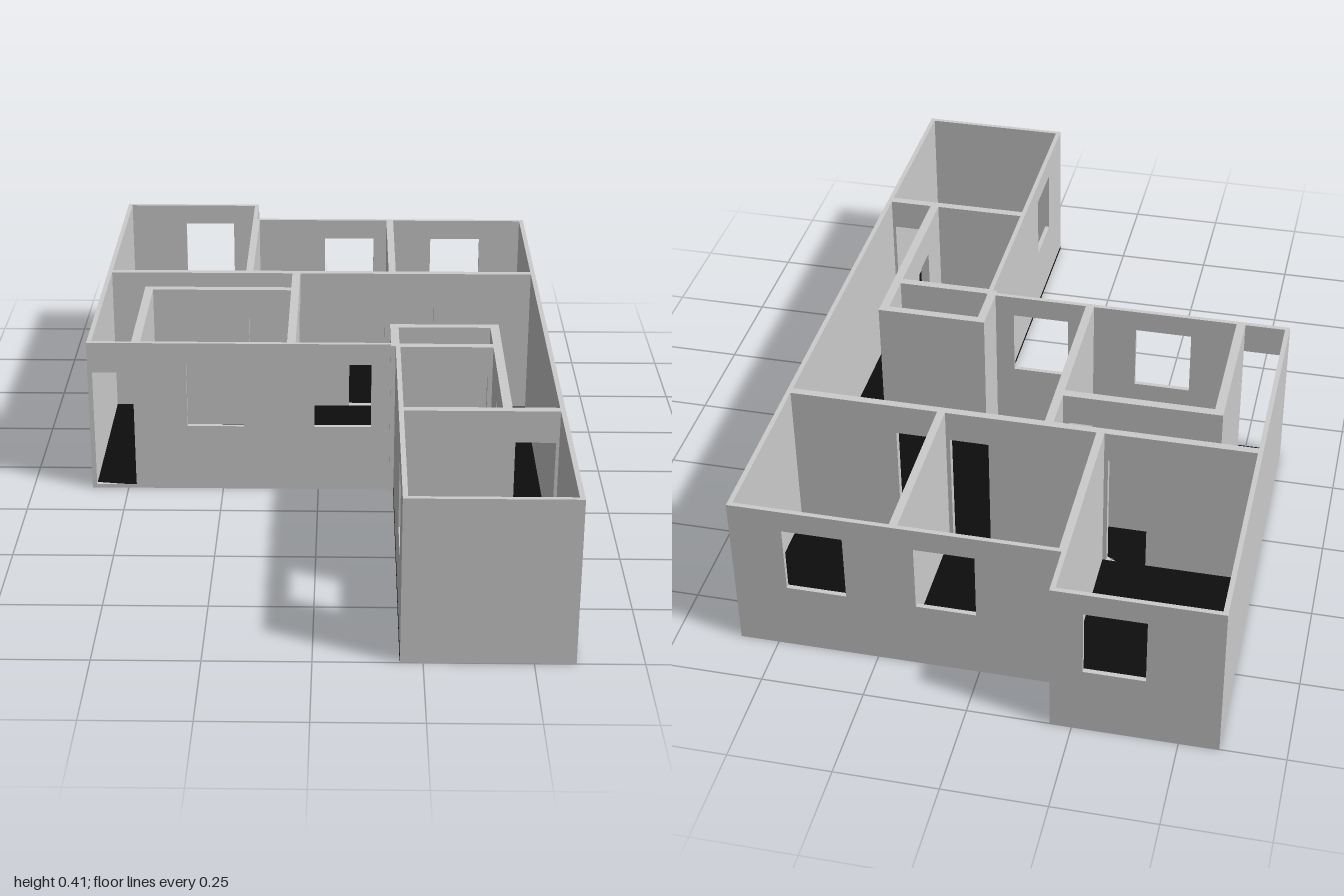
import * as THREE from 'three';

const H = 0.412;
const grey = new THREE.MeshStandardMaterial({ color: 0xcccccc, side: THREE.DoubleSide });
const dark = new THREE.MeshStandardMaterial({ color: 0x0d0d0d });

// openings: [start, end, bottom, top] along the wall
const win = (a, b) => [a, b, 0.18, 0.355];
const door = (a, b) => [a, b, 0.01, 0.33];

const rectPoints = (a, b, c, d) => [[a, c], [b, c], [b, d], [a, d]].map(p => new THREE.Vector2(...p));

// upright panel running along 'x' or 'z' from a to b, filling lo..hi on the other axis
function wall(name, axis, a, b, lo, hi, openings = []) {
  const shape = new THREE.Shape(rectPoints(a, b, 0, H));
  for (const o of openings) shape.holes.push(new THREE.Path(rectPoints(...o)));
  const geo = new THREE.ExtrudeGeometry(shape, { depth: hi - lo, bevelEnabled: false });
  if (axis === 'x') geo.translate(0, 0, lo);
  else geo.rotateY(-Math.PI / 2).translate(hi, 0, 0);
  const mesh = new THREE.Mesh(geo, grey);
  mesh.name = name;
  return mesh;
}

export function createModel() {
  const group = new THREE.Group();
  const X = 0.595, T = 0.012;

  // outer walls
  group.add(
    wall('leftOuterWall', 'z', -0.868, 1, X - T, X),
    wall('rightOuterWall', 'z', -1, 0.12, -X, -X + T),
    wall('backWingWall', 'x', -X, -0.198, -1, -1 + T, [win(-0.42, -0.275)]),
    wall('backWall', 'x', -0.2, X, -0.868, -0.868 + T, [win(0.005, 0.15), win(0.32, 0.466)]),
    wall('backWingSideWall', 'z', -1, -0.868, -0.198 - T, -0.198),
    wall('frontWall', 'x', -X, 0.2, 0.12 - T, 0.12,
      [door(-0.584, -0.478), win(-0.34, -0.193), win(-0.01, 0.137)]),
    wall('frontWingSideWall', 'z', 0.108, 1, 0.198, 0.198 + T, [win(0.685, 0.835)]),
    wall('frontWingWall', 'x', 0.198, X, 1 - T, 1)
  );

  // inner partitions
  group.add(
    wall('mainPartition', 'x', -X + T, X - T, -0.42, -0.4,
      [door(-0.32, -0.22), door(0.08, 0.178), door(0.215, 0.315)]),
    wall('backRoomPartitionRight', 'z', -0.868, -0.41, -0.21, -0.19),
    wall('backRoomPartitionLeft', 'z', -0.868, -0.41, 0.188, 0.208),
    wall('hallBackPartition', 'x', -0.48, -0.058, -0.29, -0.267, [door(-0.196, -0.096)]),
    wall('hallSidePartition', 'z', -0.29, 0.11, -0.48, -0.457),
    wall('livingRoomPartition', 'z', -0.41, 0.11, -0.08, -0.058, [door(-0.392, -0.297)]),
    wall('closetBackWall', 'x', 0.186, 0.47, -0.022, 0),
    wall('closetSideWall', 'z', -0.022, 0.13, 0.186, 0.208),
    wall('closetFrontWall', 'x', 0.2, 0.46, 0.112, 0.134, [door(0.335, 0.435)]),
    wall('corridorPartition', 'z', -0.022, 0.52, 0.447, 0.47, [door(0.29, 0.39)]),
    wall('frontRoomPartition', 'x', 0.2, X - T, 0.51, 0.532, [door(0.478, 0.575)])
  );

  // dark floor slab following the plan outline (shape y is z)
  const plan = [[-X, -1], [-0.198, -1], [-0.198, -0.868], [X, -0.868], [X, 1], [0.198, 1], [0.198, 0.12], [-X, 0.12]]
    .map(p => new THREE.Vector2(...p));
  const slab = new THREE.ExtrudeGeometry(
    new THREE.Shape(plan), { depth: 0.007, bevelEnabled: false });
  slab.rotateX(Math.PI / 2).translate(0, 0.01, 0);
  const floor = new THREE.Mesh(slab, dark);
  floor.name = 'floor';
  floor.scale.set(0.995, 1, 0.997);
  group.add(floor);

  // grey underside, left open below the L-shaped hall
  const main = [[-X, -1], [-0.198, -1], [-0.198, -0.868], [X, -0.868], [X, 1], [0.198, 1], [0.198, 0.12],
    [-0.468, 0.12], [-0.468, -0.28], [-0.07, -0.28], [-0.07, -0.41], [-X, -0.41]]
    .map(p => new THREE.Vector2(...p));
  const under = new THREE.Mesh(new THREE.ShapeGeometry(new THREE.Shape(main)).rotateX(Math.PI / 2), grey);
  under.name = 'underside';
  group.add(under);

  return group;
}
